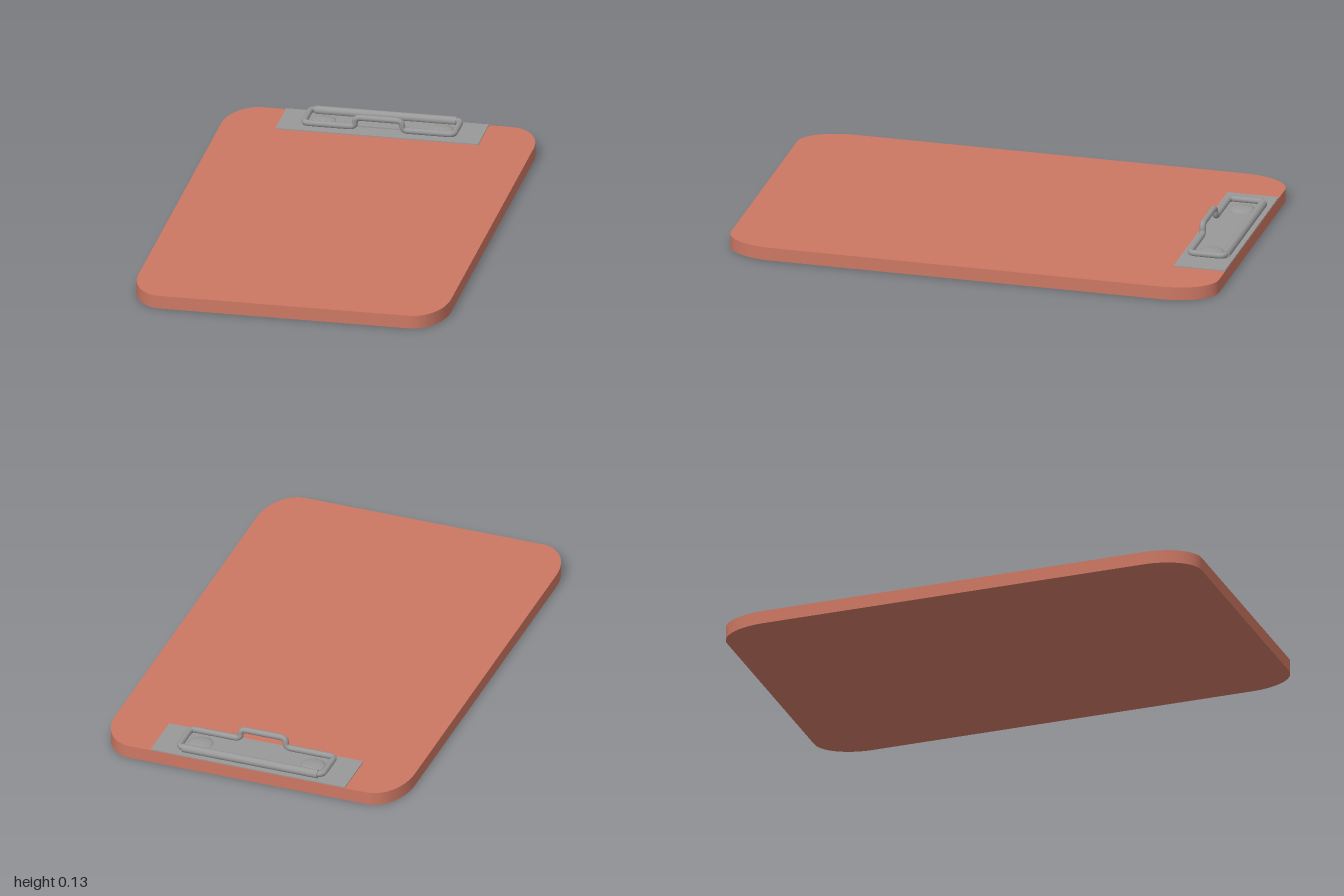
import * as THREE from 'three';

const V = (x, y, z) => new THREE.Vector3(x, y, z);

// Closed path through points, every corner rounded by radius r
function roundedLoop(points, r) {
  const path = new THREE.CurvePath();
  const n = points.length;
  const corners = points.map((p, i) => {
    const toward = (q) => {
      const d = q.clone().sub(p);
      return p.clone().addScaledVector(d.normalize(), Math.min(r, p.distanceTo(q) * 0.49));
    };
    return { a: toward(points[(i + n - 1) % n]), p, b: toward(points[(i + 1) % n]) };
  });
  corners.forEach((c, i) => {
    path.add(new THREE.QuadraticBezierCurve3(c.a, c.p, c.b));
    path.add(new THREE.LineCurve3(c.b, corners[(i + 1) % n].a));
  });
  return path;
}

export function createModel() {
  const group = new THREE.Group();
  const boardColour = new THREE.MeshStandardMaterial({ color: 0xcc7763 });
  const metal = new THREE.MeshStandardMaterial({ color: 0x999999 });
  const add = (name, geometry, material, x = 0, y = 0, z = 0) => {
    const mesh = new THREE.Mesh(geometry, material);
    mesh.name = name;
    mesh.position.set(x, y, z);
    group.add(mesh);
    return mesh;
  };

  // Board with elliptical corners
  const W = 0.632, L = 1, rx = 0.13, rz = 0.2, H = 0.054;
  const outline = new THREE.Shape();
  outline.moveTo(W, -L + rz);
  [[1, 1, 0], [-1, 1, 1], [-1, -1, 2], [1, -1, 3]].forEach(([sx, sz, q]) => {
    outline.absellipse(sx * (W - rx), sz * (L - rz), rx, rz, q * Math.PI / 2, (q + 1) * Math.PI / 2, false, 0);
  });
  const board = new THREE.ExtrudeGeometry(outline, { depth: H, bevelEnabled: false, curveSegments: 16 });
  board.rotateX(-Math.PI / 2);
  add('board', board, boardColour);

  // Thin metal plate under the clip
  add('clipPlate', new THREE.BoxGeometry(0.82, 0.004, 0.21), metal, 0, H + 0.002, -0.894);

  // Bent wire clamp with a raised finger tab at the front
  const y = 0.076, up = 0.117, zb = -0.968, zf = -0.825, xe = 0.304, xt = 0.095;
  const wire = roundedLoop([
    V(-xe, y, zb), V(-xe, y, zf), V(-xt, y, zf), V(-xt, up, zf + 0.003),
    V(xt, up, zf + 0.003), V(xt, y, zf), V(xe, y, zf), V(xe, y, zb),
  ], 0.024);
  add('wireClamp', new THREE.TubeGeometry(wire, 240, 0.0125, 10, true), metal);

  // Hinge sleeve wrapped round the rear wire, with its lip on the plate
  const sleeve = new THREE.CylinderGeometry(0.0175, 0.0175, 0.57, 16);
  sleeve.rotateZ(Math.PI / 2);
  add('hingeSleeve', sleeve, metal, 0, 0.074, zb);
  add('hingeLip', new THREE.BoxGeometry(0.57, 0.006, 0.1), metal, 0, H + 0.006, -0.918);

  // Low domed rivets
  const dome = [[0.05, 0], [0.05, 0.004], [0.043, 0.008], [0.025, 0.012], [0, 0.013]]
    .map(([r, h]) => new THREE.Vector2(r, h));
  for (const side of [-1, 1]) {
    add(side > 0 ? 'leftRivet' : 'rightRivet', new THREE.LatheGeometry(dome, 24), metal, side * 0.237, H + 0.006, -0.895);
  }
  return group;
}
